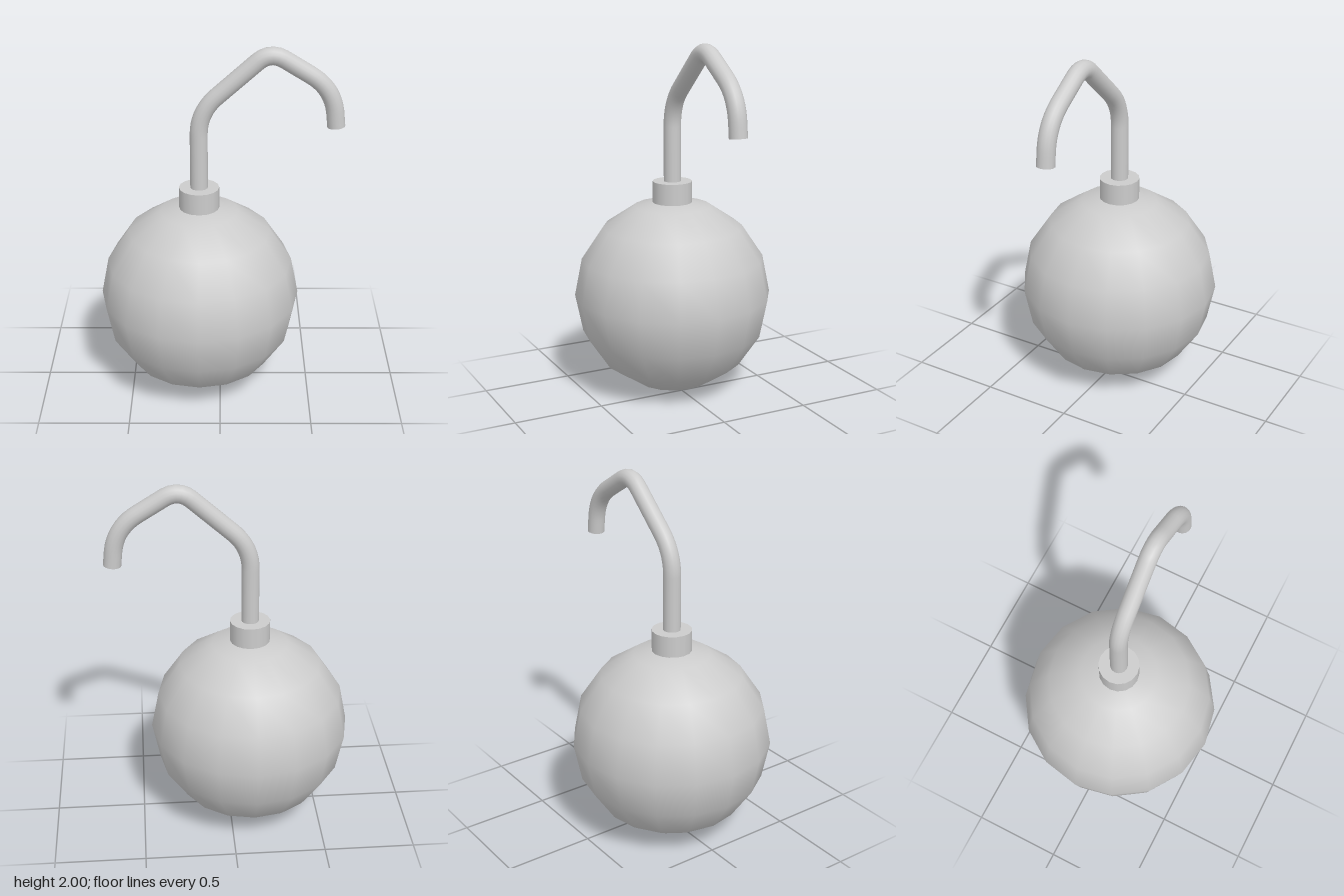
import * as THREE from 'three';

const AXIS_X = -0.115; // body axis, offset so the whole model is centred
const FUSE_RADIUS = 0.048;

// Polyline in the XY plane with each inner corner rounded over its given length
function roundedPath(points, rounds) {
  const path = new THREE.CurvePath();
  const pts = points.map(([x, y]) => new THREE.Vector3(x, y, 0));
  let from = pts[0];
  for (let i = 1; i < pts.length - 1; i++) {
    const toward = (p) => p.clone().sub(pts[i]).setLength(rounds[i - 1]).add(pts[i]);
    const a = toward(pts[i - 1]);
    const b = toward(pts[i + 1]);
    path.add(new THREE.LineCurve3(from, a));
    path.add(new THREE.QuadraticBezierCurve3(a, pts[i], b));
    from = b;
  }
  path.add(new THREE.LineCurve3(from, pts[pts.length - 1]));
  return path;
}

export function createModel() {
  const model = new THREE.Group();
  model.name = 'bomb';
  const material = new THREE.MeshStandardMaterial({ color: 0xcccccc });
  const add = (name, geometry, parent = model) => {
    const mesh = new THREE.Mesh(geometry, material);
    mesh.name = name;
    parent.add(mesh);
    return mesh;
  };

  // Round body with a coarse outline and smooth shading
  add('body', new THREE.SphereGeometry(0.553, 16, 8)).position.set(AXIS_X, 0.555, 0);

  // Collar around the fuse hole
  add('collar', new THREE.CylinderGeometry(0.11, 0.11, 0.125, 16)).position.set(AXIS_X, 1.1425, 0);

  // Bent fuse with a capped tip
  const fuse = new THREE.Group();
  fuse.name = 'fuse';
  model.add(fuse);
  const path = roundedPath(
    [[AXIS_X, 1.12], [AXIS_X, 1.64], [0.259, 1.976], [0.592, 1.771], [0.615, 1.56]],
    [0.13, 0.09, 0.14]
  );
  add('fuseCord', new THREE.TubeGeometry(path, 56, FUSE_RADIUS, 16), fuse);
  const tip = add('fuseTip', new THREE.CircleGeometry(FUSE_RADIUS, 16), fuse);
  tip.position.copy(path.getPoint(1));
  tip.quaternion.setFromUnitVectors(new THREE.Vector3(0, 0, 1), path.getTangent(1));

  return model;
}
